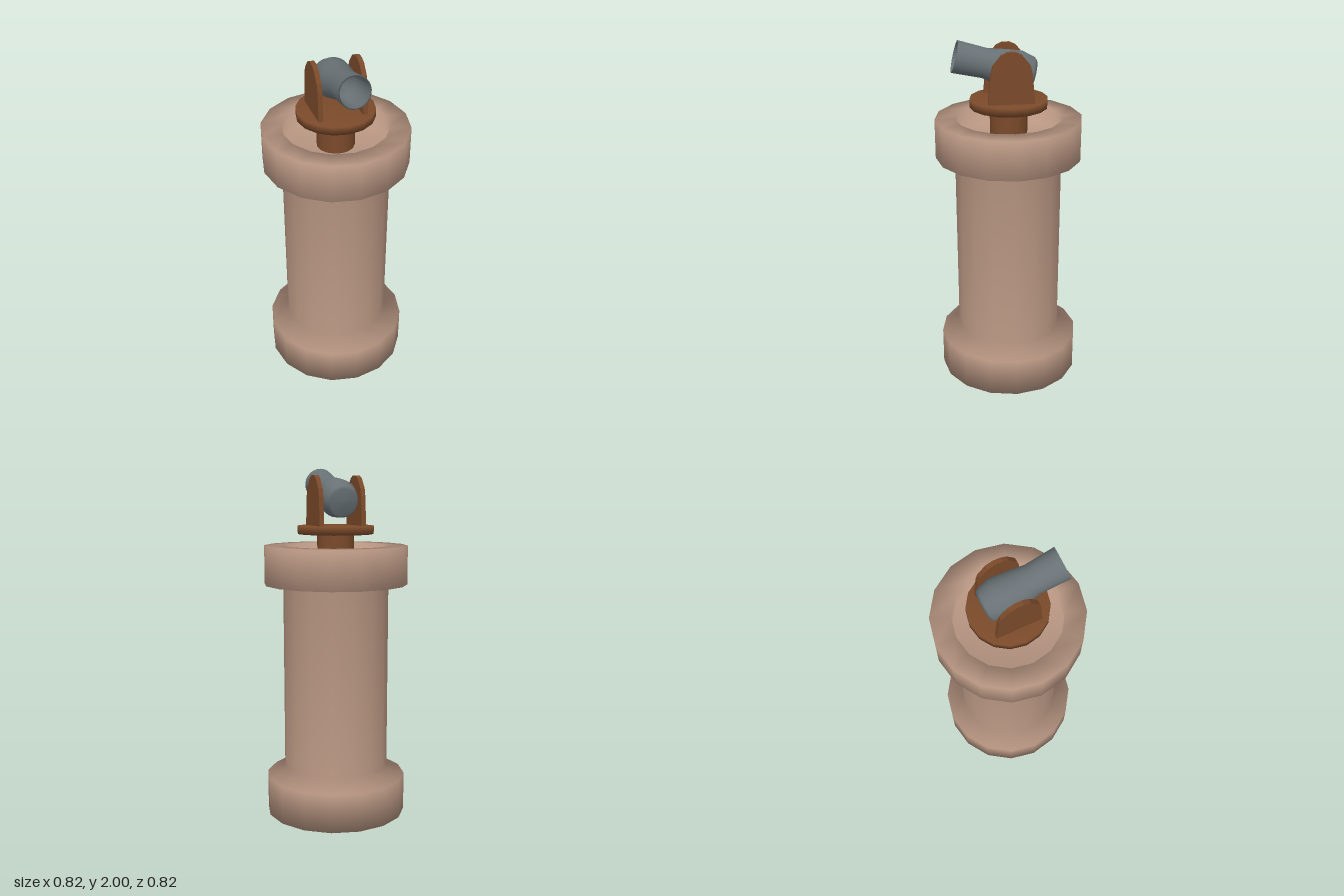
import * as THREE from 'three';

const stone = new THREE.MeshStandardMaterial({ color: 0xb89682 });
const wood = new THREE.MeshStandardMaterial({ color: 0x7a4a2a });
const metal = new THREE.MeshStandardMaterial({ color: 0x687175 });

// Smooth turned part from a list of [radius, height] pairs, bottom to top
function turned(name, profile, sides, material) {
  const points = profile.map(([r, y]) => new THREE.Vector2(r, y));
  const mesh = new THREE.Mesh(new THREE.LatheGeometry(points, sides), material);
  mesh.name = name;
  return mesh;
}

export function createModel() {
  const model = new THREE.Group();
  model.name = 'cannonTower';

  // Stone tower: flared foot, column, wide crown with a sunken floor
  model.add(turned('tower', [
    [0, 0], [0.405, 0], [0.405, 0.22], [0.302, 0.28],
    [0.302, 1.345], [0.41, 1.345], [0.41, 1.565],
    [0.295, 1.565], [0.295, 1.45], [0, 1.45],
  ], 16, stone));

  // Wooden turntable on a short post
  const post = new THREE.Mesh(new THREE.CylinderGeometry(0.105, 0.105, 0.19, 16), wood);
  post.name = 'post';
  post.position.y = 1.54;
  model.add(post);
  model.add(turned('turntable', [
    [0, 1.63], [0.216, 1.63], [0.216, 1.677], [0, 1.677],
  ], 16, wood));

  // Pair of arched side plates
  const half = [[0.127, 1.67], [0.112, 1.84], [0.1, 1.885], [0.055, 1.94], [0.02, 1.956]];
  const outline = [...half, ...half.map(([z, y]) => [-z, y]).reverse()];
  const shape = new THREE.Shape(outline.map(([z, y]) => new THREE.Vector2(z, y)));
  const plateGeometry = new THREE.ExtrudeGeometry(shape, { depth: 0.026, bevelEnabled: false });
  plateGeometry.translate(0, 0, -0.013).rotateY(Math.PI / 2);
  for (const side of [-1, 1]) {
    const plate = new THREE.Mesh(plateGeometry, wood);
    plate.name = side > 0 ? 'leftPlate' : 'rightPlate';
    plate.position.x = side * 0.123;
    model.add(plate);
  }

  // Barrel with a bulging breech and a hollow muzzle, tilted upward
  const barrel = turned('barrel', [
    [0, -0.445], [0.076, -0.44], [0.09, -0.425], [0.108, -0.355],
    [0.098, -0.27], [0.081, -0.165], [0.088, 0],
    [0.08, 0], [0.07, -0.2], [0, -0.2],
  ], 24, metal);
  barrel.position.set(0, 1.913, 0.292);
  barrel.rotation.x = THREE.MathUtils.degToRad(76);
  model.add(barrel);

  return model;
}
